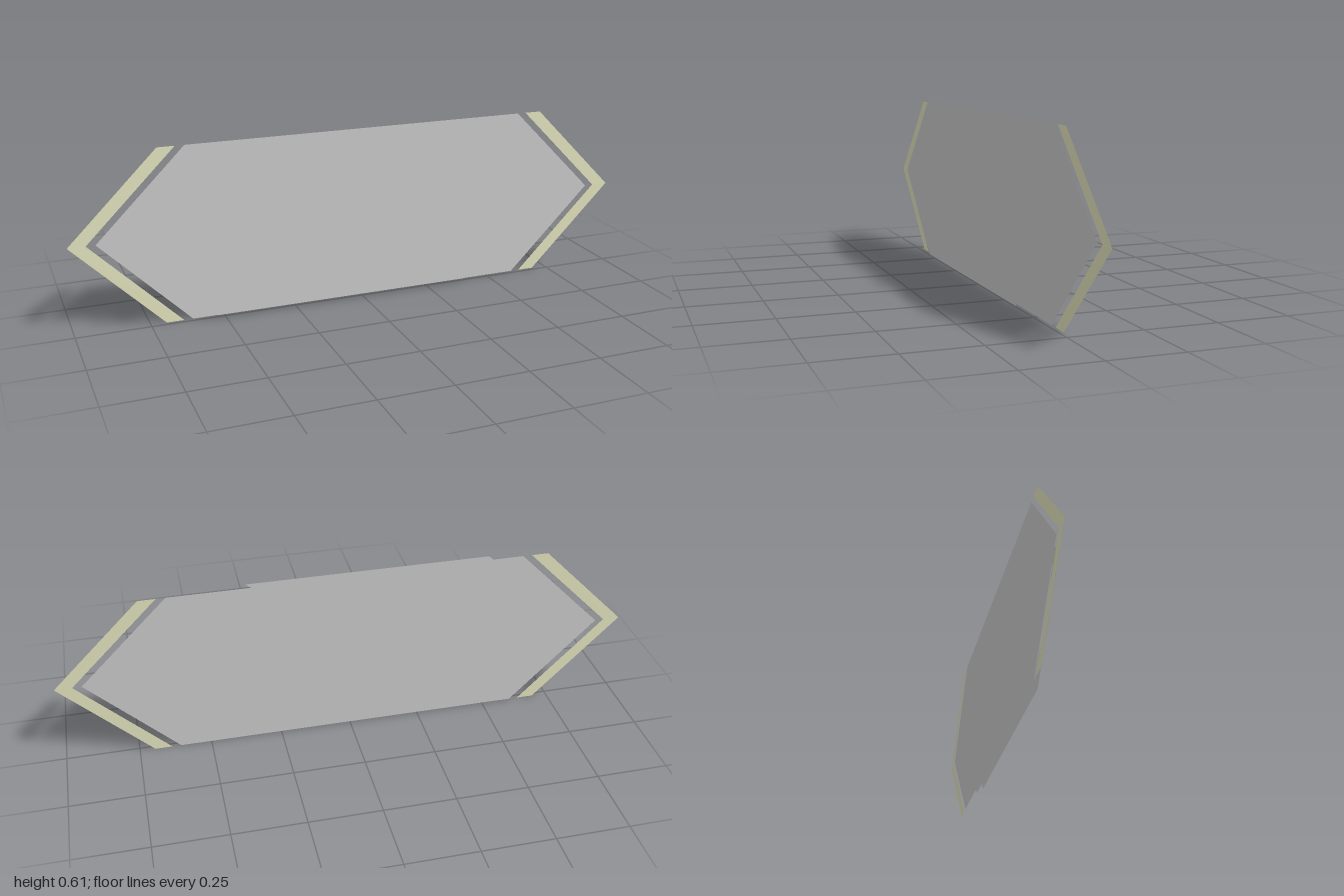
import * as THREE from 'three';

const H = 0.605, MID = H / 2;

// Flat sheet cut to an outline in the xy plane, visible from both sides
function sheet(name, points, z, color) {
  const shape = new THREE.Shape(points.map(([x, y]) => new THREE.Vector2(x, y)));
  const material = new THREE.MeshStandardMaterial({ color, side: THREE.DoubleSide });
  const mesh = new THREE.Mesh(new THREE.ShapeGeometry(shape), material);
  mesh.name = name;
  mesh.position.z = z;
  return mesh;
}

export function createModel() {
  const group = new THREE.Group();
  group.name = 'hexagonalPanel';
  const grey = 0xcccccc, cream = 0xe5e5c0;
  const back = -0.015, front = 0.015;

  // Long hexagonal backing panel
  group.add(sheet('panel', [
    [-0.91, MID], [-0.607, 0], [0.607, 0], [0.91, MID], [0.607, H], [-0.607, H],
  ], back, grey));

  // Chevron bracket beyond each pointed end
  for (const [side, name] of [[1, 'leftBracket'], [-1, 'rightBracket']]) {
    const outline = [
      [1, MID], [0.697, H], [0.638, H], [0.941, MID], [0.638, 0], [0.697, 0],
    ].map(([x, y]) => [x * side, y]);
    group.add(sheet(name, outline, back, cream));
  }

  // Stepped trim strip along the top and one pointed end
  group.add(sheet('upperTrim', [
    [0.345, 0.602], [-0.495, 0.602], [-0.82, 0.305], [-0.73, 0.217],
    [-0.68, 0.217], [-0.725, 0.26], [-0.707, 0.276], [-0.74, 0.308],
    [-0.467, 0.552], [-0.22, 0.552], [-0.193, 0.578], [0.315, 0.578],
  ], front, grey));

  // Stepped trim strip along the bottom and the other end
  group.add(sheet('lowerTrim', [
    [-0.685, 0.172], [-0.637, 0.172], [-0.59, 0.126], [-0.563, 0.126],
    [-0.498, 0.062], [0.497, 0.062], [0.743, 0.305], [0.555, 0.49],
    [0.555, 0.51], [0.534, 0.532], [0.534, 0.575], [0.806, 0.305],
    [0.603, 0.1], [0.582, 0.1], [0.523, 0.04], [0.416, 0.04],
    [0.39, 0.012], [-0.525, 0.012],
  ], front, grey));

  return group;
}
